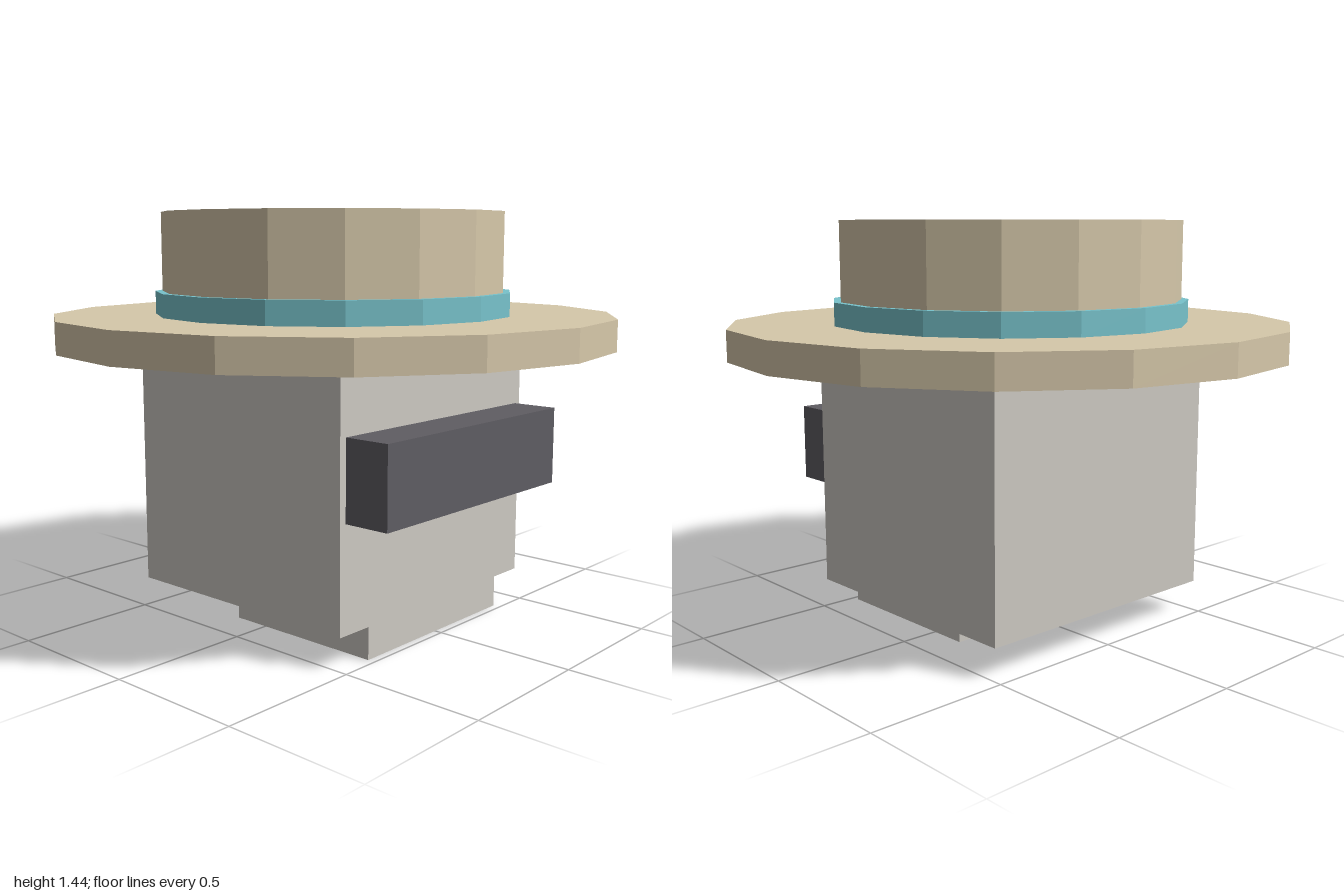
import * as THREE from 'three';

const material = (name, color) => {
  const m = new THREE.MeshStandardMaterial({ color, flatShading: true });
  m.name = name;
  return m;
};

export function createModel() {
  const model = new THREE.Group();
  model.name = 'hattedHead';

  const stone = material('pale grey', 0xcecac3);
  const dark = material('dark grey', 0x5f5d63);
  const straw = material('straw', 0xd6c8aa);
  const teal = material('teal', 0x78c3cc);

  // Box given by its min and max corners
  const box = (name, mat, [x0, y0, z0], [x1, y1, z1]) => {
    const mesh = new THREE.Mesh(new THREE.BoxGeometry(x1 - x0, y1 - y0, z1 - z0), mat);
    mesh.position.set((x0 + x1) / 2, (y0 + y1) / 2, (z0 + z1) / 2);
    mesh.name = name;
    model.add(mesh);
  };

  // Sixteen-sided disc between two heights
  const disc = (name, mat, radius, y0, y1) => {
    const mesh = new THREE.Mesh(new THREE.CylinderGeometry(radius, radius, y1 - y0, 16), mat);
    mesh.position.y = (y0 + y1) / 2;
    mesh.name = name;
    model.add(mesh);
  };

  // Head with a jaw flush to the face and a visor across the eyes
  box('head', stone, [-0.5, 0.112, -0.474], [0.5, 0.977, 0.474]);
  box('jaw', stone, [-0.362, 0, -0.136], [0.362, 0.112, 0.474]);
  box('visor', dark, [-0.474, 0.476, 0.474], [0.474, 0.75, 0.64]);

  // Hat
  disc('hatBrim', straw, 1, 0.977, 1.086);
  disc('hatBand', teal, 0.638, 1.086, 1.167);
  disc('hatCrown', straw, 0.613, 1.167, 1.444);

  return model;
}
